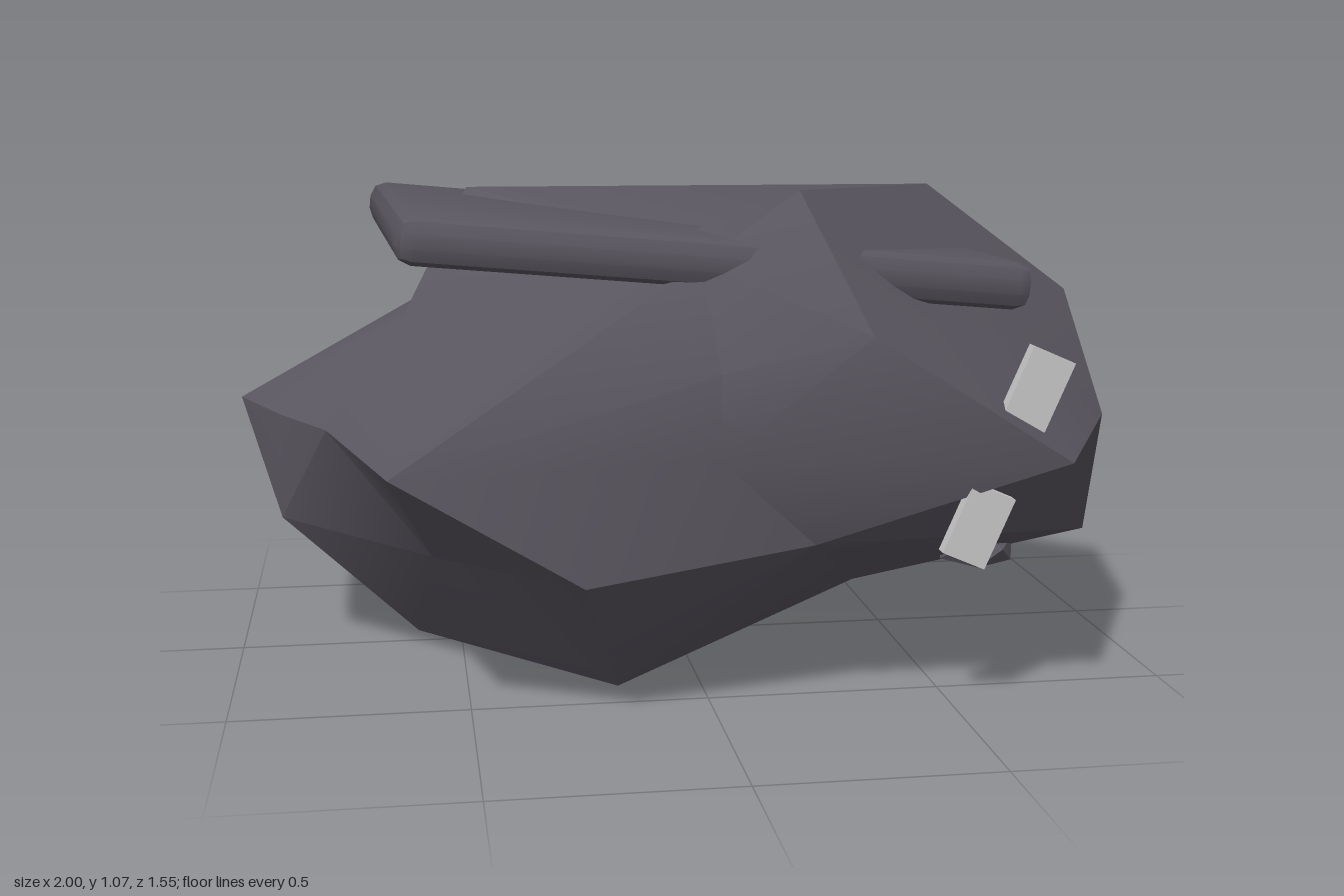
import * as THREE from 'three';
import { toCreasedNormals } from 'three/addons/utils/BufferGeometryUtils.js';
import { RoundedBoxGeometry } from 'three/addons/geometries/RoundedBoxGeometry.js';

const MID = new THREE.Vector3(0, 0.545, 0);

// Corners of the main rock, one letter each
const CORNERS = {
  // waist, from the left side round the front to the right and back
  a: [0.94, 0.545, 0.27], b: [0.69, 0.545, 0.77], c: [0, 0.545, 0.65],
  d: [-0.66, 0.545, 0.735], e: [-0.79, 0.545, 0.21], P: [-0.9, 0.545, 0],
  f: [-1, 0.545, -0.24], g: [-0.48, 0.545, -0.55], h: [0, 0.545, -0.78],
  i: [0.59, 0.545, -0.63], j: [0.96, 0.545, -0.24],
  // upper half
  k: [0.93, 0.8, 0.02], l: [0.59, 1.05, 0.02], m: [0.19, 1.07, 0.48],
  n: [0.29, 0.8, 0.725], o: [-0.3, 0.87, -0.72], p: [-0.46, 1.035, -0.25],
  q: [-0.62, 0.75, -0.05], r: [-0.05, 0.95, 0.25],
  N: [0, 0.72, 0.65], R: [-0.02, 0.93, 0.52],
  // lower half
  s: [1, 0.215, 0.02], t: [0.5, 0.03, -0.26], u: [0.27, 0.3, -0.53],
  v: [-0.28, 0.31, 0.715], w: [-0.19, 0.03, 0.48], x: [-0.6, 0.03, 0.02],
  y: [-0.9, 0.31, 0.02], z: [0, 0, 0.02], B: [0.2, 0.36, 0.63],
};

// Faces as strings of corner letters
const FACES = [
  'abnmlk', 'klohij', 'jsak', 'iutsj', 'dvwxye', // broad flat facets
  'lmr', 'lrp', 'lpo', // top
  'opq', 'oqf', 'ofg', 'gho', // back right shoulder
  'bnc', 'nNc', 'Ndc', 'nmR', 'nRN', 'NRd', 'mrR', 'Rrd', // hollow front
  'rqd', 'rpq', 'qde', 'qeP', 'qPf', // right shoulder
  'cdv', 'cvB', 'cBb', 'Bvw', 'Bwt', 'Bts', 'Bsa', 'Bab', // undercut front
  'eyP', 'Pyf', 'yxf', 'fxg', 'gxu', 'hgu', 'hui', 'uxt', // undercut back
  'txz', 'wzx', 'wtz', // base
];

// Each face becomes triangles turned outward; larger ones fan from their middle
function boulderGeometry() {
  const points = [];
  for (const face of FACES) {
    const ring = [...face].map((id) => new THREE.Vector3(...CORNERS[id]));
    const centre = new THREE.Vector3();
    ring.forEach((p) => centre.addScaledVector(p, 1 / ring.length));
    const normal = new THREE.Vector3();
    ring.forEach((p, n) => {
      const next = ring[(n + 1) % ring.length];
      normal.add(p.clone().sub(centre).cross(next.clone().sub(centre)));
    });
    if (normal.dot(centre.clone().sub(MID)) < 0) ring.reverse();
    if (ring.length === 3) points.push(...ring);
    else ring.forEach((p, n) => points.push(centre, p, ring[(n + 1) % ring.length]));
  }
  return toCreasedNormals(new THREE.BufferGeometry().setFromPoints(points), 0.65);
}

export function createModel() {
  const model = new THREE.Group();
  model.name = 'boulder';
  const stone = new THREE.MeshStandardMaterial({ name: 'dark stone', color: 0x5a5660 });
  const pale = new THREE.MeshStandardMaterial({ name: 'pale grey', color: 0xc8c8c8 });

  const add = (name, geometry, material, position, rotation = [0, 0, 0]) => {
    const mesh = new THREE.Mesh(geometry, material);
    mesh.name = name;
    mesh.position.set(...position);
    mesh.rotation.set(...rotation);
    model.add(mesh);
  };

  add('mainRock', boulderGeometry(), stone, [0, 0, 0]);

  // Tilted slab sunk into the top
  const slab = toCreasedNormals(new RoundedBoxGeometry(1.33, 0.1, 1.07, 1, 0.035), 0.5);
  add('topSlab', slab, stone, [0, 0.925, 0.015], [0, 0.055, -0.095]);

  // Two pale markers on the front
  const marker = new THREE.BoxGeometry(0.095, 0.155, 0.03);
  add('upperMarker', marker, pale, [0.63, 0.685, 0.705], [0, 0, -0.41]);
  add('lowerMarker', marker, pale, [0.515, 0.41, 0.705], [0, 0, -0.41]);

  // Small stones clinging to the underside
  const pebbles = [
    [[0.77, 0.21, -0.22], [0.11, 0.105, 0.105], 0.4],
    [[0.76, 0.155, -0.06], [0.13, 0.045, 0.1], 1.1],
    [[-0.24, 0.16, -0.31], [0.1, 0.075, 0.09], 0.2],
  ];
  for (const [position, size, turn] of pebbles) {
    const pebble = new THREE.IcosahedronGeometry(1).rotateX(turn).scale(...size);
    pebble.computeVertexNormals();
    add('pebble', pebble, stone, position, [0, turn, 0]);
  }
  return model;
}
